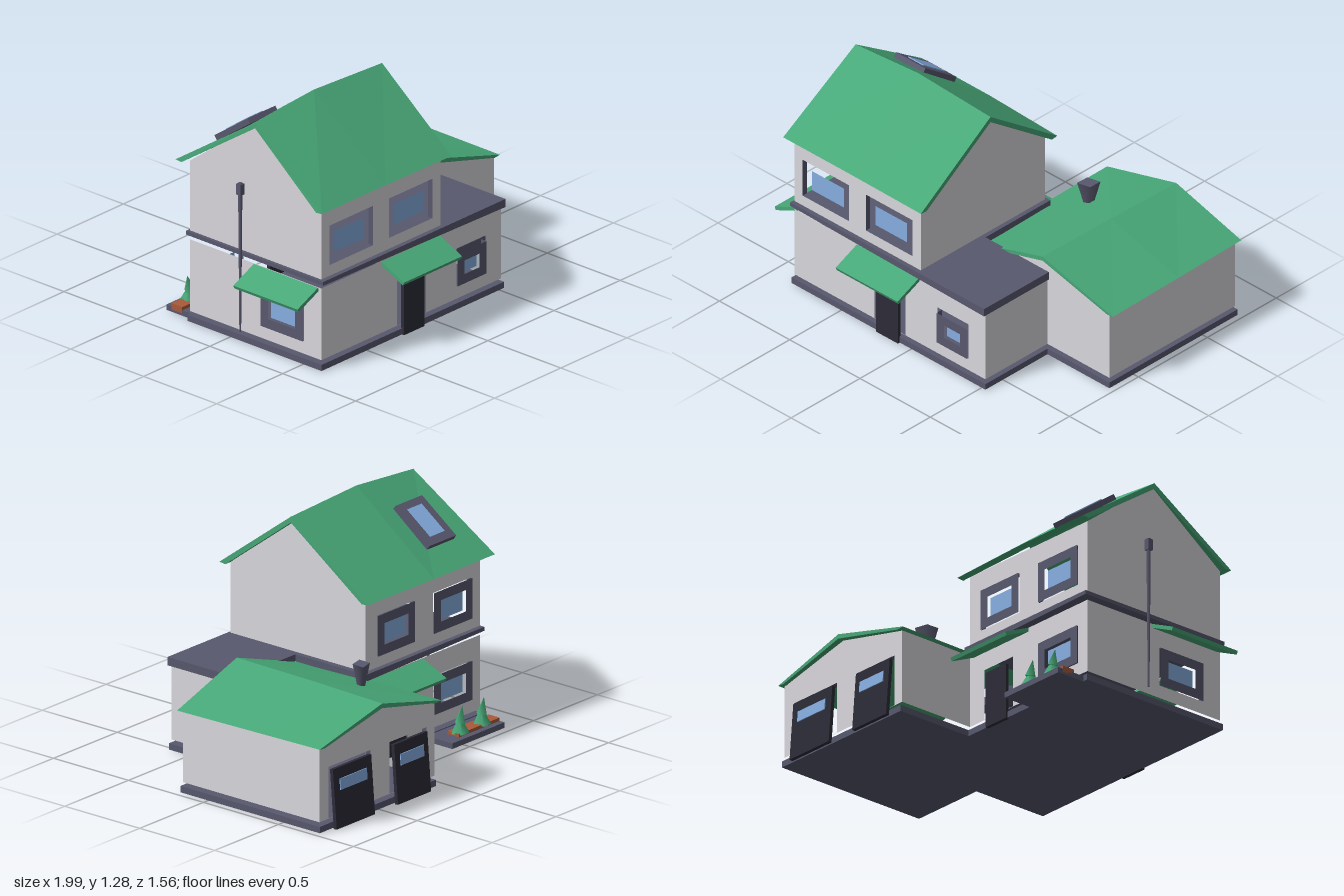
import * as THREE from 'three';

export function createModel() {
  const house = new THREE.Group();
  house.name = 'house';
  const mat = (name, color, side = THREE.FrontSide) => {
    const m = new THREE.MeshStandardMaterial({ color, side });
    m.name = name;
    return m;
  };
  const white = mat('wall white', 0xd9d7dc);
  const green = mat('roof green', 0x48a878);
  const slate = mat('trim slate', 0x58586e);
  const glass = mat('glass blue', 0x86aee0, THREE.DoubleSide);
  const dark = mat('door dark', 0x2c2b38);
  const clay = mat('clay', 0xa85a3a);

  const add = (parent, name, geo, m, x = 0, y = 0, z = 0) => {
    const mesh = new THREE.Mesh(geo, m);
    mesh.name = name;
    mesh.position.set(x, y, z);
    parent.add(mesh);
    return mesh;
  };
  const box = (p, name, m, w, h, d, x, y, z) => add(p, name, new THREE.BoxGeometry(w, h, d), m, x, y, z);
  const poly = (pts) => new THREE.Shape(pts.map(([x, y]) => new THREE.Vector2(x, y)));
  const rect = (a, b, c, d) => poly([[a, c], [b, c], [b, d], [a, d]]);

  // A facade: outward wall in its own plane (u across, v up), pushed out from the centre
  const turns = { front: 0, right: Math.PI / 2, back: Math.PI, left: -Math.PI / 2 };
  const facade = (name, side, offset, [u0, u1, v0, v1], { apex, holes = [] } = {}) => {
    const g = new THREE.Group();
    g.name = name;
    const a = turns[side];
    g.rotation.y = a;
    g.position.set(Math.sin(a) * offset, 0, Math.cos(a) * offset);
    const pts = [[u0, v0], [u1, v0], [u1, v1]];
    if (apex) pts.push(apex);
    pts.push([u0, v1]);
    const shape = poly(pts);
    for (const h of holes) shape.holes.push(rect(...h));
    add(g, name + 'Wall', new THREE.ShapeGeometry(shape), white);
    house.add(g);
    return g;
  };

  // Window: inward reveal, recessed pane and, if wanted, a flat frame
  const windowUnit = (g, [a, b, c, d], framed) => {
    const w = b - a, h = d - c, x = (a + b) / 2, y = (c + d) / 2, depth = 0.03;
    for (const s of [-1, 1]) {
      const jamb = add(g, 'windowJamb', new THREE.PlaneGeometry(depth, h), slate, x + s * w / 2, y, -depth / 2);
      jamb.rotation.y = -s * Math.PI / 2;
      const sill = add(g, 'windowSill', new THREE.PlaneGeometry(w, depth), slate, x, y + s * h / 2, -depth / 2);
      sill.rotation.x = s * Math.PI / 2;
    }
    const e = 0.052;
    add(g, 'windowPane', new THREE.PlaneGeometry(w - 2 * e, h - 2 * e), glass, x, y, -0.015);
    if (framed) {
      const ring = rect(a, b, c, d);
      ring.holes.push(rect(a + e, b - e, c + e, d - e));
      add(g, 'windowFrame', new THREE.ShapeGeometry(ring), slate, 0, 0, 0.008);
    }
  };

  const canopy = (g, u0, u1) => {
    const c = box(g, 'canopy', green, u1 - u0, 0.02, 0.17, (u0 + u1) / 2, 0.415, 0.077);
    c.rotation.x = 0.42;
  };
  const door = (g, x) => box(g, 'door', dark, 0.155, 0.305, 0.02, x, 0.155, 0.01);

  // Ground floor
  const hDoor = [-0.27, -0.05, 0.062, 0.34], hFront = [0.18, 0.4, 0.13, 0.34];
  const groundFront = facade('groundFront', 'front', 0.62, [-0.84, 0.52, 0.06, 0.46], { holes: [hDoor, hFront] });
  windowUnit(groundFront, [0.18, 0.4, 0.13, 0.31], true);
  door(groundFront, -0.16);
  canopy(groundFront, -0.39, 0.05);

  const hBackDoor = [0.05, 0.27, 0.062, 0.34], hBackWin = [0.47, 0.77, 0.13, 0.34];
  const groundBack = facade('groundBack', 'back', 0.28, [-0.06, 0.84, 0.06, 0.46], { holes: [hBackDoor, hBackWin] });
  windowUnit(groundBack, hBackWin, true);
  door(groundBack, 0.16);
  canopy(groundBack, -0.03, 0.39);

  const hLeft = [0.21, 0.5, 0.13, 0.34];
  const groundLeft = facade('groundSide', 'left', 0.84, [-0.28, 0.62, 0.06, 0.46], { holes: [hLeft] });
  windowUnit(groundLeft, hLeft, true);
  canopy(groundLeft, 0.16, 0.6);
  facade('groundShortSide', 'right', 0.52, [-0.62, -0.17, 0.06, 0.46]);

  // Upper floor
  const upFront = [[-0.78, -0.45, 0.57, 0.79], [-0.33, 0, 0.57, 0.79]];
  const upBack = [[0.03, 0.32, 0.57, 0.79], [0.47, 0.77, 0.57, 0.79]];
  const upperFront = facade('upperFront', 'front', 0.62, [-0.84, 0.06, 0.51, 0.9], { holes: upFront });
  upFront.forEach((h) => windowUnit(upperFront, h, false));
  const upperBack = facade('upperBack', 'back', 0.28, [-0.06, 0.84, 0.51, 0.9], { holes: upBack });
  upBack.forEach((h) => windowUnit(upperBack, h, true));
  facade('upperGableEast', 'right', 0.06, [-0.62, 0.28, 0.51, 0.9], { apex: [-0.17, 1.24] });
  facade('upperGableWest', 'left', 0.84, [-0.28, 0.62, 0.51, 0.9], { apex: [0.17, 1.24] });

  // Garage wing with two doors at the back
  const bays = [[-0.89, -0.56, 0.062, 0.34], [-0.41, -0.12, 0.062, 0.34]];
  facade('garageFront', 'front', 0.17, [0.06, 0.96, 0.06, 0.46], { apex: [0.51, 0.575] });
  facade('garageOuterSide', 'right', 0.96, [-0.17, 0.74, 0.06, 0.46]);
  facade('garageInnerSide', 'left', -0.06, [-0.74, -0.28, 0.06, 0.46]);
  const garageBack = facade('garageBack', 'back', 0.74, [-0.96, -0.06, 0.06, 0.46], { apex: [-0.51, 0.56], holes: bays });
  for (const b of bays) {
    windowUnit(garageBack, b, false);
    const x = (b[0] + b[1]) / 2, w = b[1] - b[0] - 0.03;
    const leaf = box(garageBack, 'garageDoor', dark, w, 0.32, 0.02, x, 0.165, 0.02);
    leaf.rotation.x = -0.08;
    box(leaf, 'garageDoorWindow', glass, w * 0.7, 0.06, 0.006, 0, 0.07, 0.012);
  }

  // Floor slabs, cut to the plan
  const slab = (name, plan, y, h) => {
    const geo = new THREE.ExtrudeGeometry(poly(plan.map(([x, z]) => [x, -z])), { depth: h, bevelEnabled: false });
    geo.rotateX(-Math.PI / 2);
    return add(house, name, geo, slate, 0, y, 0);
  };
  slab('baseSlab', [[-0.85, 0.63], [0.53, 0.63], [0.53, 0.18], [0.97, 0.18], [0.97, -0.75], [0.06, -0.75],
    [0.06, -0.29], [-0.85, -0.29]], 0.006, 0.034);
  const middle = slab('middleSlab', [[-0.85, 0.64], [0.53, 0.64], [0.53, 0.17], [0.08, 0.17], [0.08, -0.3], [-0.85, -0.3]], 0.46, 0.045);
  // underside rises and top climbs toward the west end
  const p = middle.geometry.attributes.position;
  for (let i = 0; i < p.count; i++) {
    const t = (0.53 - p.getX(i)) / 1.38;
    if (p.getY(i) < 0.02) p.setY(i, 0.024 * t);
  }
  middle.geometry.computeVertexNormals();

  // Gable roof lofted from sections [s, ridgeS, ridgeHeight, leftEave, rightEave, eaveHeight], ridge along z
  const roof = (name, ridgeT, thick, stations) => {
    const rings = stations.map(([s, rs, ry, l, r, ey]) => [
      [l, ey, s], [ridgeT, ry, rs], [r, ey, s],
      [r - 0.04, ey - 0.004, s], [ridgeT, ry - thick, rs], [l + 0.04, ey - 0.004, s]]);
    const v = [];
    const quad = (a, b, c, d) => v.push(...a, ...b, ...c, ...a, ...c, ...d);
    for (let k = 0; k + 1 < rings.length; k++) {
      const a = rings[k], b = rings[k + 1];
      for (let i = 0; i < 6; i++) {
        const j = (i + 1) % 6;
        quad(a[i], b[i], b[j], a[j]);
      }
    }
    const f = rings[0], e = rings[rings.length - 1];
    quad(f[0], f[1], f[4], f[5]);
    quad(f[1], f[2], f[3], f[4]);
    quad(e[5], e[4], e[1], e[0]);
    quad(e[4], e[3], e[2], e[1]);
    const geo = new THREE.BufferGeometry();
    geo.setAttribute('position', new THREE.Float32BufferAttribute(v, 3));
    geo.computeVertexNormals();
    return add(house, name, geo, green);
  };
  const mainRoof = roof('mainRoof', -0.17, 0.032, [
    [-0.88, -0.845, 1.25, -0.66, 0.345, 0.9], [-0.4, -0.4, 1.285, -0.66, 0.345, 0.9], [0.1, 0.115, 1.26, -0.66, 0.33, 0.895]]);
  mainRoof.rotation.y = Math.PI / 2;
  roof('garageRoof', 0.51, 0.025, [
    [-0.762, -0.775, 0.585, 0.03, 0.985, 0.465], [-0.3, -0.3, 0.597, 0.03, 0.99, 0.46], [0.18, 0.195, 0.602, 0.05, 0.995, 0.455]]);

  // Skylight lying on the back slope
  const skylight = new THREE.Group();
  skylight.name = 'skylight';
  skylight.position.set(-0.615, 1.088, -0.1);
  skylight.rotation.x = -0.623;
  house.add(skylight);
  box(skylight, 'skylightFrame', slate, 0.21, 0.03, 0.28, 0, 0, 0);
  box(skylight, 'skylightPane', glass, 0.11, 0.008, 0.19, 0, 0.016, 0);

  // Chimney flaring upward, and the downpipe
  const chimney = add(house, 'chimney', new THREE.CylinderGeometry(0.06, 0.025, 0.13, 4), slate, 0.245, 0.575, -0.41);
  chimney.rotation.y = Math.PI / 4;
  chimney.geometry.rotateY(0.1);
  chimney.scale.set(1, 1, 0.75);
  add(house, 'downpipe', new THREE.CylinderGeometry(0.012, 0.005, 0.83, 6), slate, -0.88, 0.49, 0.1);
  box(house, 'downpipeHead', slate, 0.03, 0.06, 0.03, -0.88, 0.87, 0.1);

  // Planter bed behind the house
  box(house, 'planterTray', slate, 0.41, 0.03, 0.18, -0.615, 0.02, -0.37);
  for (const [x, w] of [[-0.775, 0.09], [-0.6, 0.2]]) box(house, 'planterSoil', clay, w, 0.035, 0.075, x, 0.035, -0.39);
  for (const x of [-0.71, -0.54]) {
    add(house, 'plantBase', new THREE.ConeGeometry(0.05, 0.09, 5), green, x, 0.09, -0.4);
    const tip = add(house, 'plantTip', new THREE.ConeGeometry(0.035, 0.09, 4), green, x - 0.01, 0.14, -0.4);
    tip.rotation.z = 0.2;
  }
  return house;
}
